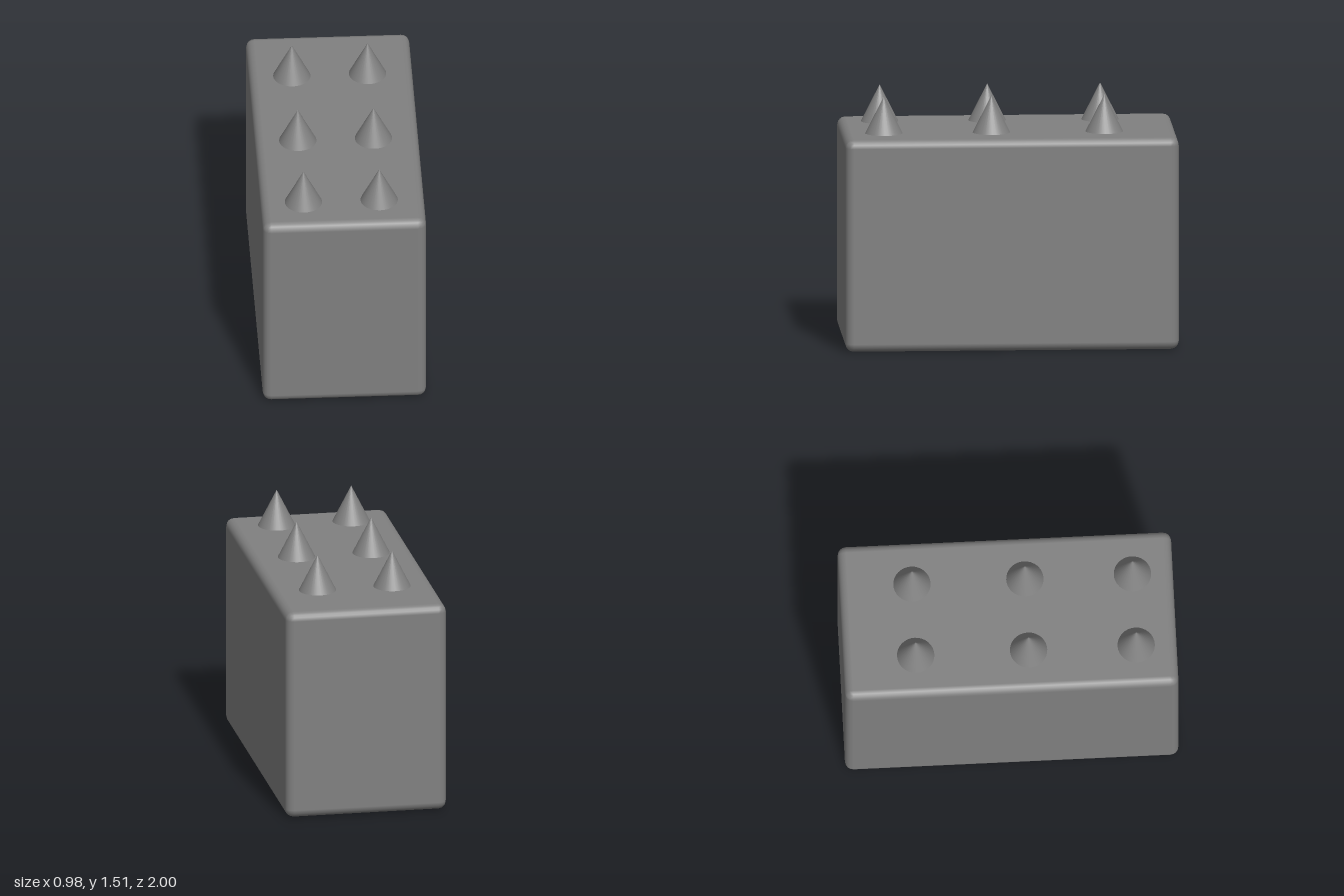
import * as THREE from 'three';
import { RoundedBoxGeometry } from 'three/addons/geometries/RoundedBoxGeometry.js';

export function createModel() {
  const model = new THREE.Group();
  const grey = new THREE.MeshStandardMaterial({ color: 0x808080 });
  grey.name = 'grey';

  // Block with softly bevelled edges
  const height = 1.285;
  const block = new THREE.Mesh(new RoundedBoxGeometry(0.98, height, 2, 2, 0.05), grey);
  block.name = 'block';
  block.position.y = height / 2;
  model.add(block);

  // Two rows of three spikes on top
  const spikeGeometry = new THREE.ConeGeometry(0.112, 0.222, 32);
  const spikes = new THREE.Group();
  spikes.name = 'spikes';
  for (const x of [-0.235, 0.219]) {
    for (const z of [0.757, 0.112, -0.565]) {
      const spike = new THREE.Mesh(spikeGeometry, grey);
      spike.name = 'spike';
      spike.position.set(x, 1.289 + 0.111, z);
      spikes.add(spike);
    }
  }
  model.add(spikes);
  return model;
}
